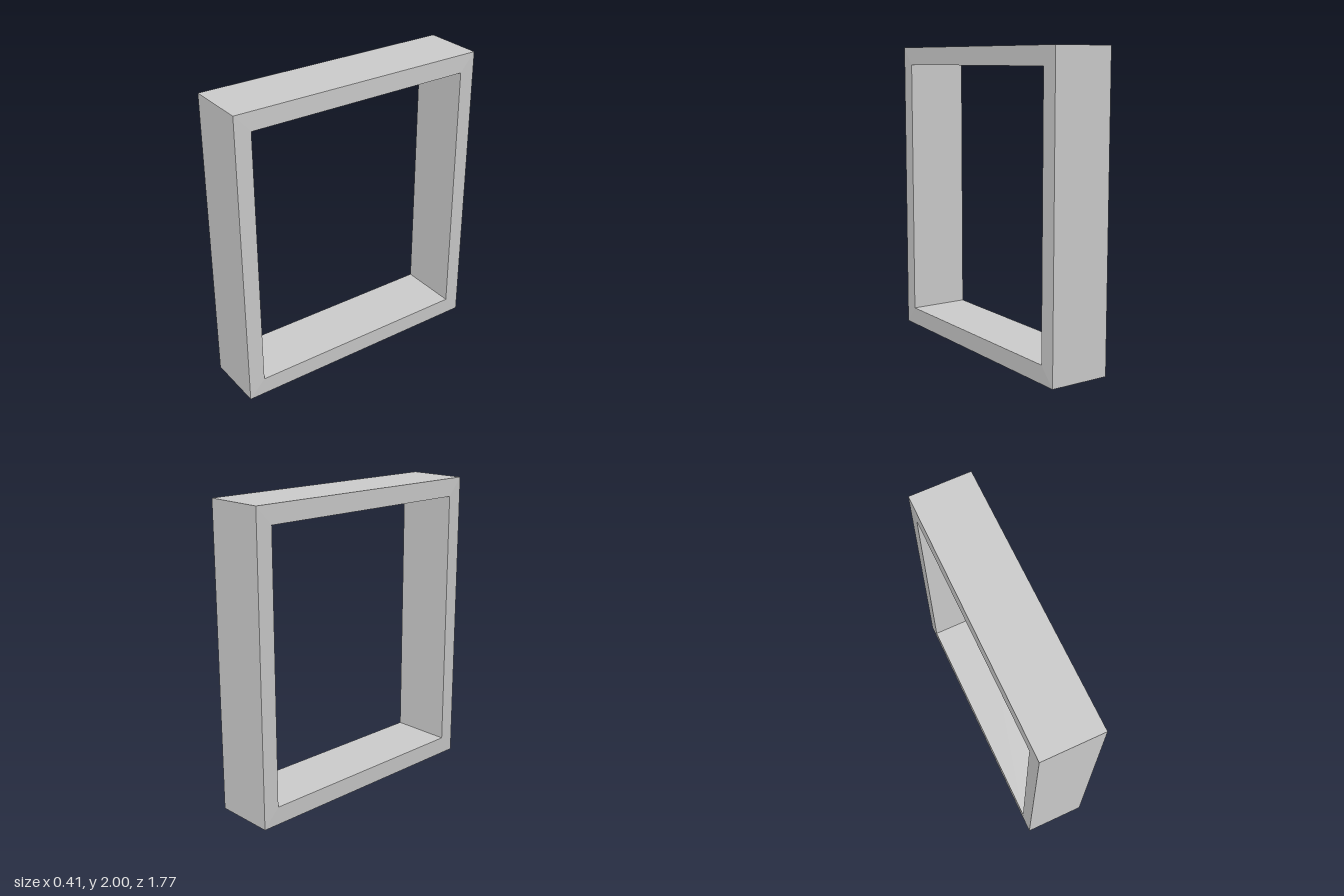
import * as THREE from 'three';

const HALF_Z = 0.885, HALF_Y = 1;      // outer half sizes of the frame
const RAIL = 0.12, POST = 0.108;       // face widths of the members
const OUTER_X = 0.203, INNER_X = 0.206; // faces lean out very slightly toward the opening

const material = new THREE.MeshStandardMaterial({ color: 0xcccccc, flatShading: true });

// Mitred member along z; +y is its outer side, the inner side is cut back at both ends
function member(name, halfLength, thickness, cut) {
  const geometry = new THREE.BoxGeometry(2, thickness, 2);
  const p = geometry.attributes.position;
  for (let i = 0; i < p.count; i++) {
    const outer = p.getY(i) > 0;
    p.setX(i, Math.sign(p.getX(i)) * (outer ? OUTER_X : INNER_X));
    p.setZ(i, Math.sign(p.getZ(i)) * (outer ? halfLength : halfLength - cut));
  }
  geometry.computeVertexNormals();
  const mesh = new THREE.Mesh(geometry, material);
  mesh.name = name;
  return mesh;
}

export function createModel() {
  const group = new THREE.Group();
  group.name = 'rectangularFrame';

  // Top and bottom rails, front and back posts: each turned so its outer side faces away
  for (const s of [1, -1]) {
    const rail = member(s > 0 ? 'topRail' : 'bottomRail', HALF_Z, RAIL, POST);
    rail.rotation.x = s > 0 ? 0 : Math.PI;
    rail.position.y = HALF_Y + s * (HALF_Y - RAIL / 2);

    const post = member(s > 0 ? 'frontPost' : 'backPost', HALF_Y, POST, RAIL);
    post.rotation.x = s * Math.PI / 2;
    post.position.set(0, HALF_Y, s * (HALF_Z - POST / 2));

    group.add(rail, post);
  }
  return group;
}
